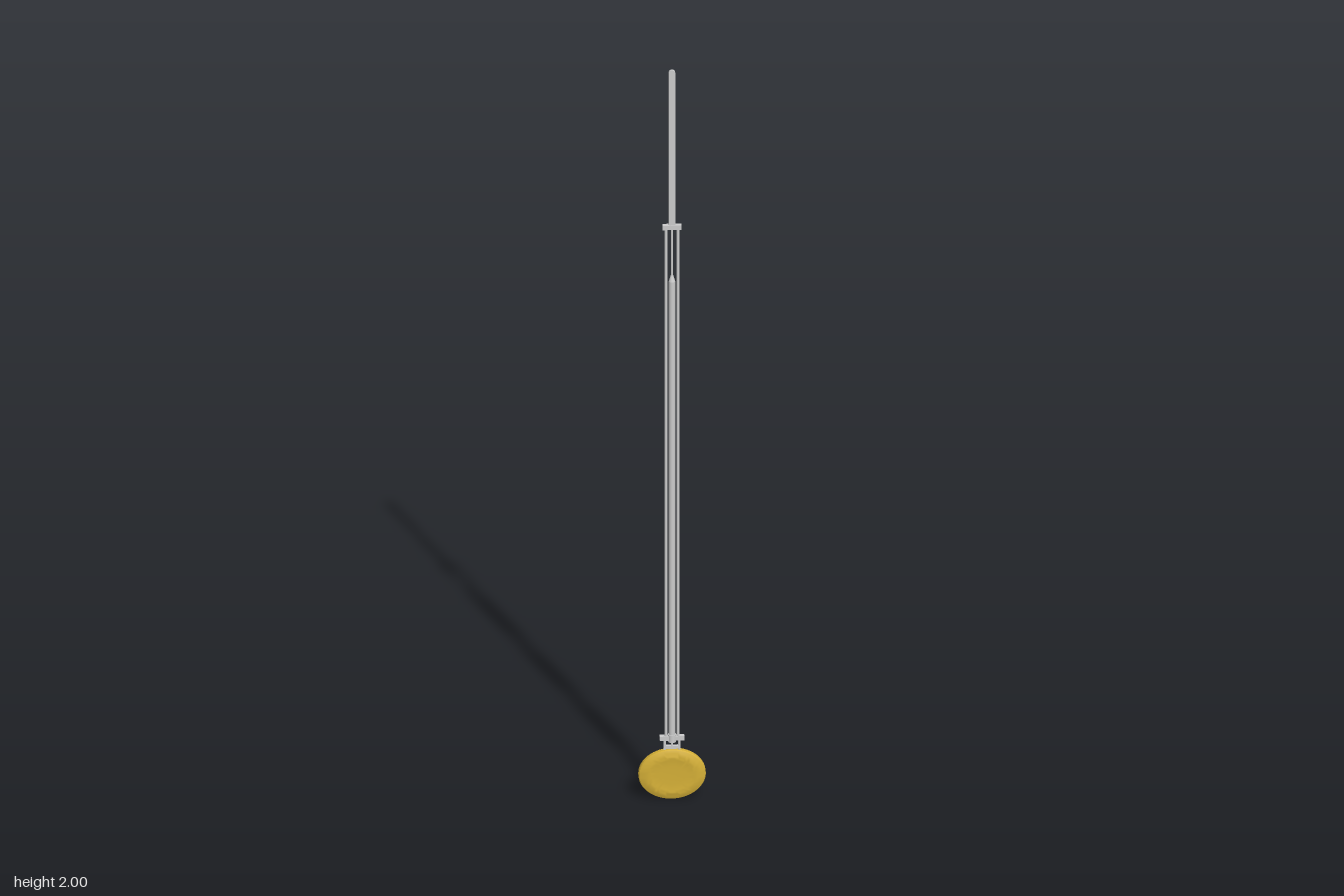
import * as THREE from 'three';
import { toCreasedNormals } from 'three/addons/utils/BufferGeometryUtils.js';

export function createModel() {
  const group = new THREE.Group();
  const steel = new THREE.MeshStandardMaterial({ color: 0xcccccc });
  const brass = new THREE.MeshStandardMaterial({ color: 0xd4af37 });

  const add = (name, geometry, x, y, z = 0, material = steel) => {
    const mesh = new THREE.Mesh(geometry, material);
    mesh.name = name;
    mesh.position.set(x, y, z);
    group.add(mesh);
    return mesh;
  };
  // box or round bar spanning y0..y1
  const bar = (name, x, y0, y1, w, d) =>
    add(name, new THREE.BoxGeometry(w, y1 - y0, d), x, (y0 + y1) / 2);
  const rod = (name, x, y0, y1, r, rTop = r) =>
    add(name, new THREE.CylinderGeometry(rTop, r, y1 - y0, 16), x, (y0 + y1) / 2);

  // flat suspension strip with a rounded top
  const strip = new THREE.Shape();
  strip.moveTo(-0.008, 0);
  strip.lineTo(0.008, 0);
  strip.lineTo(0.008, 0.424);
  strip.absarc(0, 0.424, 0.008, 0, Math.PI, false);
  strip.lineTo(-0.008, 0);
  const stripGeometry = new THREE.ExtrudeGeometry(strip, { depth: 0.006, bevelEnabled: false });
  add('suspensionStrip', stripGeometry, 0, 1.568, -0.003);

  // upper crosspiece
  bar('upperCrosspiece', 0, 1.563, 1.575, 0.046, 0.011);

  // central rod, sleeved over most of its length
  rod('centreRod', 0, 0.12, 1.57, 0.003);
  rod('centreSleeve', 0, 0.165, 1.42, 0.008);
  rod('sleeveTip', 0, 1.42, 1.437, 0.008, 0.003);

  // lower crosspiece
  bar('lowerCrosspiece', 0, 0.159, 0.171, 0.06, 0.011);
  rod('lowerCollar', 0, 0.155, 0.175, 0.01);

  // side rods and short legs, mirrored
  for (const side of [-1, 1]) {
    rod('sideRod', side * 0.0145, 0.165, 1.57, 0.0038);
    bar('bobLeg', side * 0.018, 0.115, 0.162, 0.006, 0.006);
  }
  bar('bobBracket', 0, 0.136, 0.144, 0.04, 0.008);

  // oval bob: bevelled rim and shallow dished faces on both sides
  const half = [[0, 0.0115], [0.03, 0.012], [0.05, 0.0125], [0.056, 0.0135],
    [0.062, 0.0132], [0.072, 0.0108], [0.08, 0.008], [0.082, 0.005]];
  const profile = [
    ...half.map(([r, z]) => new THREE.Vector2(r, -z)),
    ...half.slice().reverse().map(([r, z]) => new THREE.Vector2(r, z)),
  ];
  const bob = new THREE.LatheGeometry(profile, 64);
  bob.rotateX(Math.PI / 2);
  bob.scale(1, 0.0675 / 0.082, 1);
  add('bob', toCreasedNormals(bob, 0.5), 0, 0.0675, 0, brass);

  return group;
}
